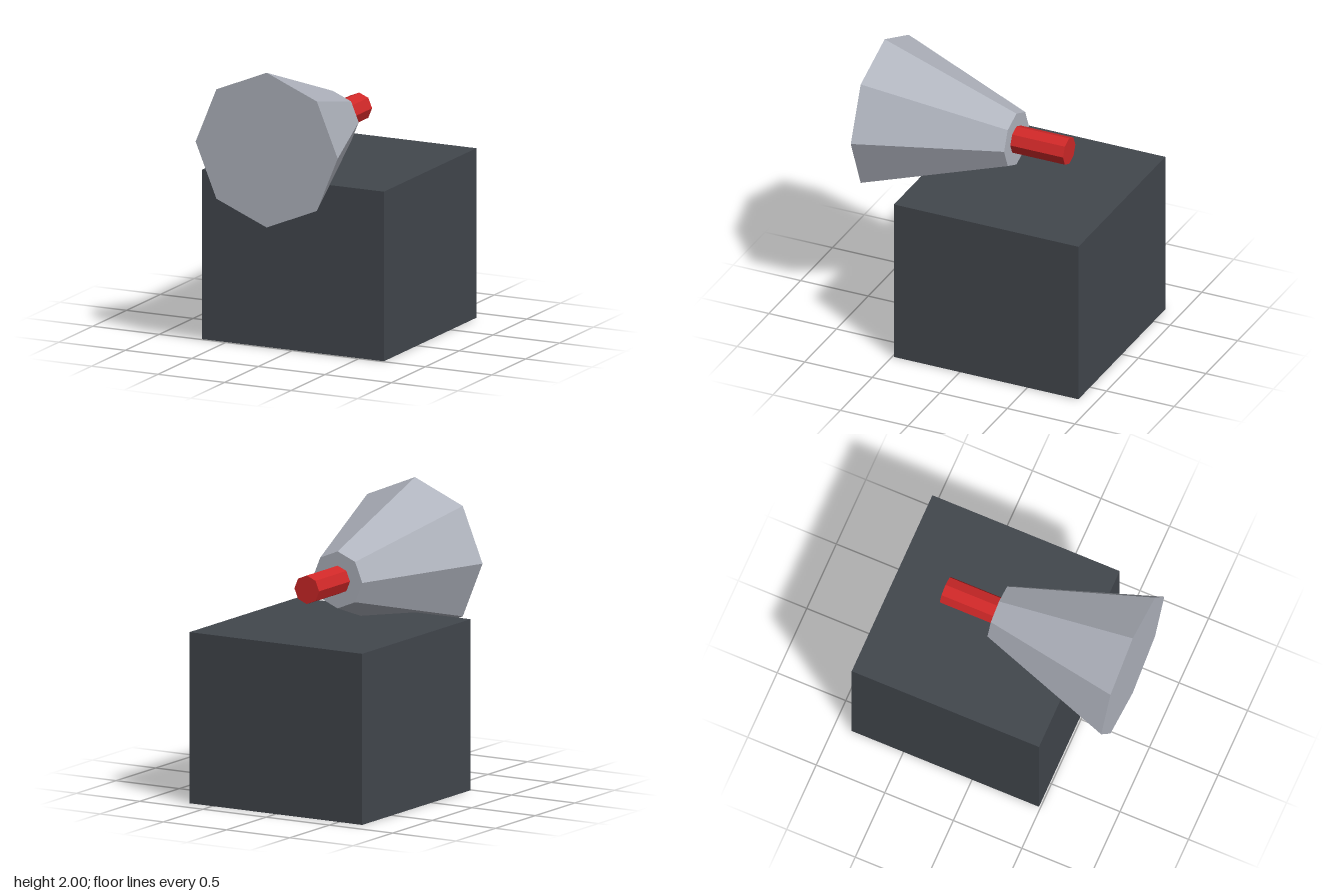
import * as THREE from 'three';

const material = (name, color) => {
  const m = new THREE.MeshStandardMaterial({ color, flatShading: true });
  m.name = name;
  return m;
};

export function createModel() {
  const darkGrey = material('dark grey', 0x42474d);
  const lightGrey = material('light grey', 0xb0b4be);
  const red = material('red', 0xd02828);
  const group = new THREE.Group();

  const add = (name, geometry, mat, y, z) => {
    const mesh = new THREE.Mesh(geometry, mat);
    mesh.name = name;
    mesh.position.set(0, y, z);
    group.add(mesh);
  };

  // Eight-sided tapered bar lying along z, from zBack to zFront
  const bar = (name, rFront, rBack, zBack, zFront, mat) => {
    const geometry = new THREE.CylinderGeometry(rFront, rBack, zFront - zBack, 8);
    geometry.rotateX(Math.PI / 2);
    add(name, geometry, mat, 1.466, (zFront + zBack) / 2);
  };

  // Base block, set towards the back
  add('baseBlock', new THREE.BoxGeometry(1.366, 1.17, 1.366), darkGrey, 0.585, -0.195);

  // Horn flaring forward, partly sunk into the block
  bar('horn', 0.534, 0.195, -0.098, 0.878, lightGrey);

  // Rod behind the horn
  bar('rearRod', 0.0976, 0.0976, -0.488, -0.098, red);

  return group;
}
